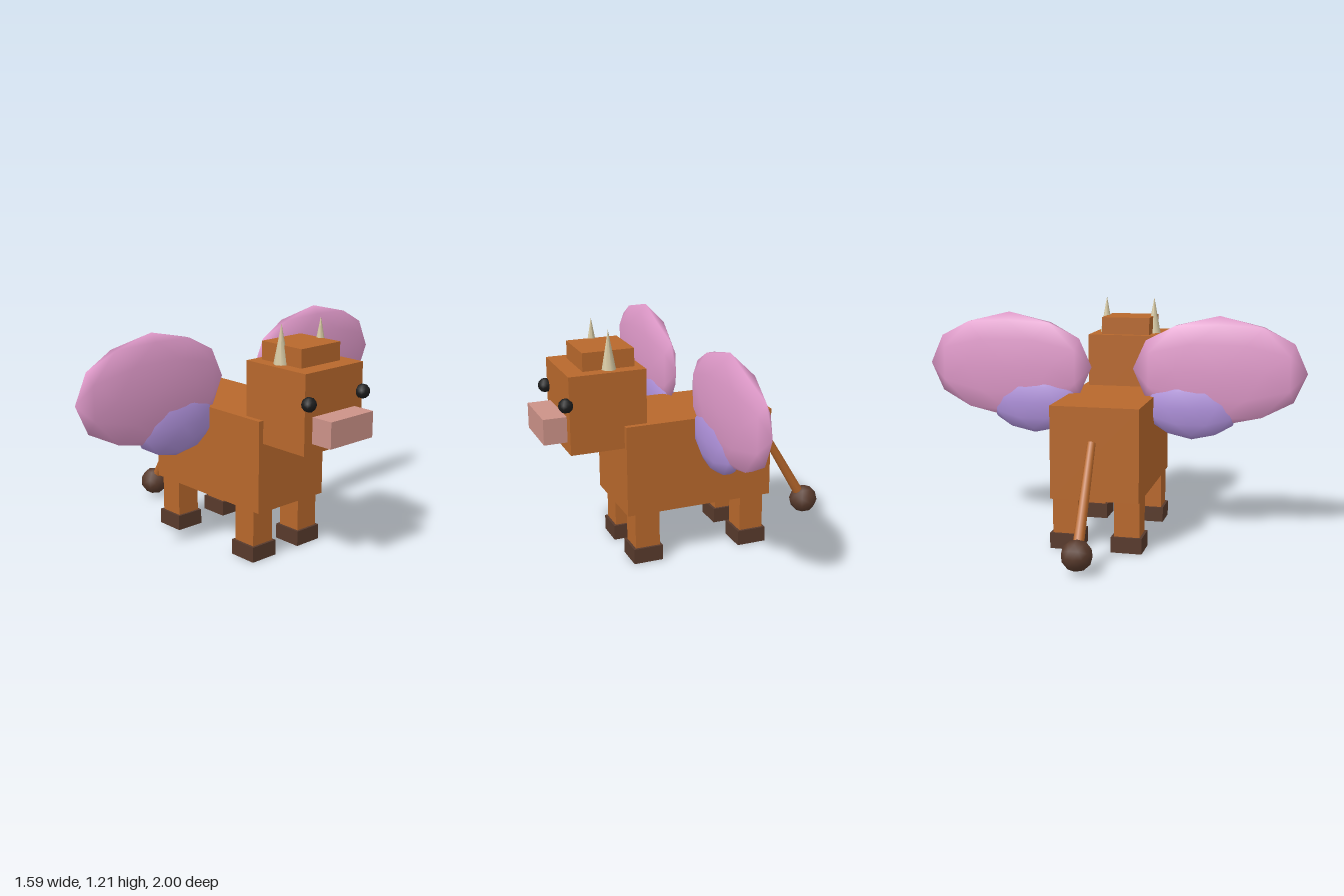
import * as THREE from 'three';

const mat = (name, color) => {
  const m = new THREE.MeshStandardMaterial({ color });
  m.name = name;
  return m;
};

export function createModel() {
  const hide = mat('orangeHide', 0xb8682c);
  const hoofBrown = mat('darkBrown', 0x583a2c);
  const muzzlePink = mat('muzzlePink', 0xcc9288);
  const wingPink = mat('wingPink', 0xe09aca);
  const wingPurple = mat('wingPurple', 0xb092dc);
  const hornCream = mat('hornCream', 0xd6c8a2);
  const eyeBlack = mat('eyeBlack', 0x1c1c1c);

  const model = new THREE.Group();
  model.name = 'wingedCow';

  const add = (name, geometry, material, x, y, z) => {
    const mesh = new THREE.Mesh(geometry, material);
    mesh.name = name;
    mesh.position.set(x, y, z);
    model.add(mesh);
    return mesh;
  };
  // Box given by its x and y ranges, depth and centre z
  const box = (name, material, x0, x1, y0, y1, depth, z = 0) =>
    add(name, new THREE.BoxGeometry(x1 - x0, y1 - y0, depth), material, (x0 + x1) / 2, (y0 + y1) / 2, z);
  // Faceted-outline ball or ellipsoid with smooth normals
  const ball = (name, material, x, y, z, rx, ry = rx, rz = rx) =>
    add(name, new THREE.IcosahedronGeometry(1, 1).scale(rx, ry, rz), material, x, y, z);

  // Body and head
  box('body', hide, -0.388, 0.4, 0.265, 0.736, 0.45);
  box('head', hide, 0.282, 0.674, 0.62, 1.014, 0.394);
  box('tuft', hide, 0.32, 0.584, 1.0, 1.106, 0.264);
  box('muzzle', muzzlePink, 0.66, 0.792, 0.672, 0.802, 0.29);

  for (const [side, s] of [['left', -1], ['right', 1]]) {
    // Eyes and horns
    ball(side + 'Eye', eyeBlack, 0.688, 0.872, s * 0.185, 0.037);
    add(side + 'Horn', new THREE.ConeGeometry(0.037, 0.2, 8), hornCream, 0.452, 1.11, s * 0.134);

    // Legs and hooves
    for (const [end, x] of [['Front', 0.295], ['Back', -0.285]]) {
      box(side + end + 'Leg', hide, x - 0.065, x + 0.065, 0.07, 0.28, 0.13, s * 0.157);
      box(side + end + 'Hoof', hoofBrown, x - 0.078, x + 0.078, 0, 0.08, 0.156, s * 0.157);
    }

    // Wings: large upper lobe and small lower lobe
    ball(side + 'UpperWing', wingPink, 0.004, 0.875, s * 0.555, 0.062, 0.281, 0.445);
    ball(side + 'LowerWing', wingPurple, 0.004, 0.685, s * 0.42, 0.065, 0.168, 0.247);
  }

  // Tail: slanted tapering rod with a ball at the end
  const top = new THREE.Vector3(-0.433, 0.57, 0);
  const low = new THREE.Vector3(-0.7, 0.12, 0);
  const dir = top.clone().sub(low);
  const mid = top.clone().add(low).multiplyScalar(0.5);
  const tail = add('tail', new THREE.CylinderGeometry(0.021, 0.028, dir.length(), 8), hide, mid.x, mid.y, 0);
  tail.quaternion.setFromUnitVectors(new THREE.Vector3(0, 1, 0), dir.normalize());
  ball('tailTip', hoofBrown, -0.72, 0.094, 0, 0.077);

  return model;
}
